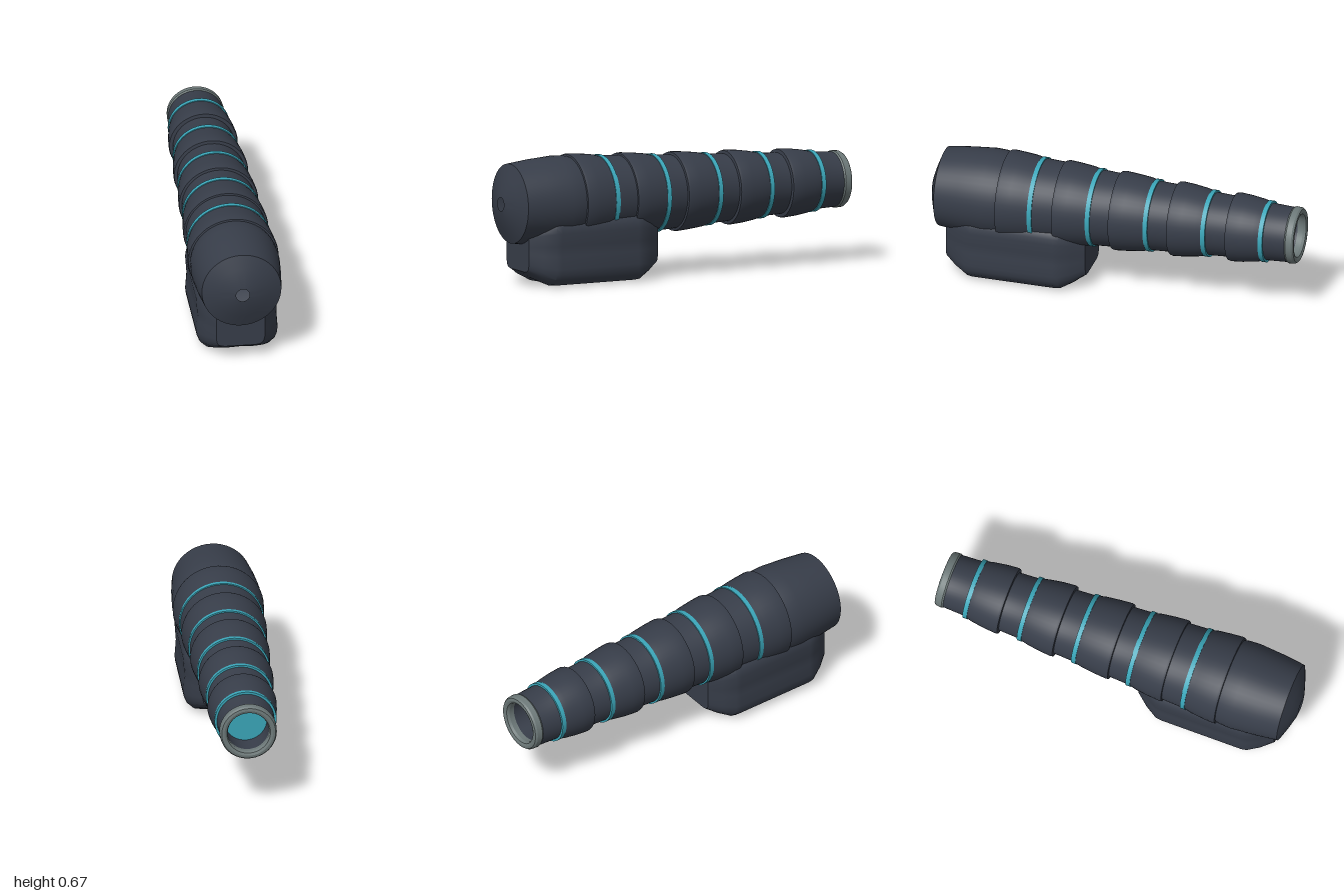
import * as THREE from 'three';
import { toCreasedNormals } from 'three/addons/utils/BufferGeometryUtils.js';

const AXIS_Y = 0.436;
const BASE_Y = 0.195;

function material(name, color) {
  const m = new THREE.MeshStandardMaterial({ color, side: THREE.DoubleSide });
  m.name = name;
  return m;
}

// Revolve [radius, z] pairs, listed back to front, around the barrel axis
function revolve(profile) {
  const pts = profile.map(([r, z]) => new THREE.Vector2(r, z));
  const geo = new THREE.LatheGeometry(pts, 48).rotateX(Math.PI / 2);
  geo.deleteAttribute('uv');
  return toCreasedNormals(geo, 0.35).translate(0, AXIS_Y, 0);
}

// Mirror a quarter outline (side middle to top middle) into a closed loop
function mirrorQuarter(quarter) {
  const back = quarter.slice(0, -1).reverse();
  const half = [...quarter, ...back.map(([x, y]) => [-x, y])];
  return [...half, ...half.slice(1, -1).reverse().map(([x, y]) => [x, -y])];
}

// Join matching loops at the given depths, front to back, and cap both ends
function loft(sections) {
  const n = sections[0].loop.length;
  const pos = [], index = [];
  for (const { loop, z } of sections) {
    for (const [x, y] of loop) pos.push(x, y + BASE_Y, z);
  }
  for (let i = 0; i < sections.length - 1; i++) {
    for (let j = 0; j < n; j++) {
      const a = i * n + j, b = i * n + (j + 1) % n;
      index.push(a, a + n, b, b, a + n, b + n);
    }
  }
  const last = (sections.length - 1) * n;
  const front = pos.length / 3;
  pos.push(0, BASE_Y, sections[0].z, 0, BASE_Y, sections[sections.length - 1].z);
  for (let j = 0; j < n; j++) {
    const k = (j + 1) % n;
    index.push(front, j, k, front + 1, last + k, last + j);
  }
  const geo = new THREE.BufferGeometry();
  geo.setAttribute('position', new THREE.Float32BufferAttribute(pos, 3));
  geo.setIndex(index);
  return toCreasedNormals(geo, 0.5);
}

export function createModel() {
  const model = new THREE.Group();
  const dark = material('dark slate', 0x373d49);
  const teal = material('teal', 0x3aa5b8);
  const grey = material('grey metal', 0x6d7979);
  const add = (name, geo, mat) => {
    const mesh = new THREE.Mesh(geo, mat);
    mesh.name = name;
    model.add(mesh);
  };

  // Rounded nose with a small hole at its tip
  add('nose', revolve([
    [0.222, 0.58], [0.232, 0.63], [0.235, 0.69], [0.225, 0.82],
    [0.21, 0.945], [0.14, 0.972], [0.075, 0.993], [0.036, 1],
  ]), dark);

  // Overlapping sleeves: a flared collar in front, a narrower neck behind
  const sleeves = [
    { front: 0.61, ring: 0.42, end: 0.29, flare: 0.24, neck: 0.222 },
    { front: 0.305, ring: 0.108, end: -0.01, flare: 0.225, neck: 0.205 },
    { front: 0, ring: -0.203, end: -0.33, flare: 0.21, neck: 0.19 },
    { front: -0.315, ring: -0.513, end: -0.645, flare: 0.197, neck: 0.175 },
    { front: -0.63, ring: -0.823, end: -0.96, flare: 0.182, neck: 0.161 },
  ];
  sleeves.forEach(({ front, ring, end, flare, neck }, i) => {
    const slim = neck - 0.004 - i * 0.0015;
    add('barrelSleeve', revolve([
      [slim - 0.006, end], [slim, ring - 0.012], [neck - 0.002, ring + 0.012],
      [neck + 0.006, ring + 0.045], [flare - 0.005, front - 0.08],
      [flare, front - 0.018], [flare - 0.003, front - 0.005], [slim - 0.004, front],
    ]), dark);
    // Solid disc, so its face also closes the bore
    add('tealBand', revolve([
      [0, ring - 0.012], [neck + 0.002, ring - 0.012],
      [neck + 0.002, ring + 0.012], [0, ring + 0.012],
    ]), teal);
  });

  // Hollow rear opening and its rim
  add('rearBore', revolve([[0.112, -0.82], [0.112, -0.985]]), dark);
  add('rearRim', revolve([
    [0.112, -0.95], [0.146, -0.95], [0.151, -0.958], [0.149, -0.988],
    [0.142, -0.998], [0.128, -1], [0.115, -0.995], [0.109, -0.98], [0.112, -0.95],
  ]), grey);

  // Bevelled block beneath the barrel
  const cap = mirrorQuarter([
    [0.128, 0], [0.128, 0.02], [0.128, 0.07], [0.122, 0.095], [0.112, 0.107],
    [0.1, 0.112], [0.08, 0.115], [0.015, 0.115], [0, 0.115],
  ]);
  const belly = mirrorQuarter([
    [0.208, 0], [0.21, 0.027], [0.215, 0.095], [0.211, 0.125], [0.2, 0.152],
    [0.178, 0.172], [0.165, 0.184], [0.11, 0.193], [0, 0.187],
  ]);
  const blend = (t) => cap.map(([x, y], i) => [
    x + (belly[i][0] - x) * t, y + (belly[i][1] - y) * t,
  ]);
  add('underBlock', loft([
    { loop: cap, z: 0.9 }, { loop: blend(0.55), z: 0.838 }, { loop: blend(0.95), z: 0.775 },
    { loop: belly, z: 0.745 }, { loop: belly, z: 0.295 },
    { loop: blend(0.95), z: 0.265 }, { loop: blend(0.55), z: 0.202 }, { loop: cap, z: 0.14 },
  ]), dark);

  return model;
}
